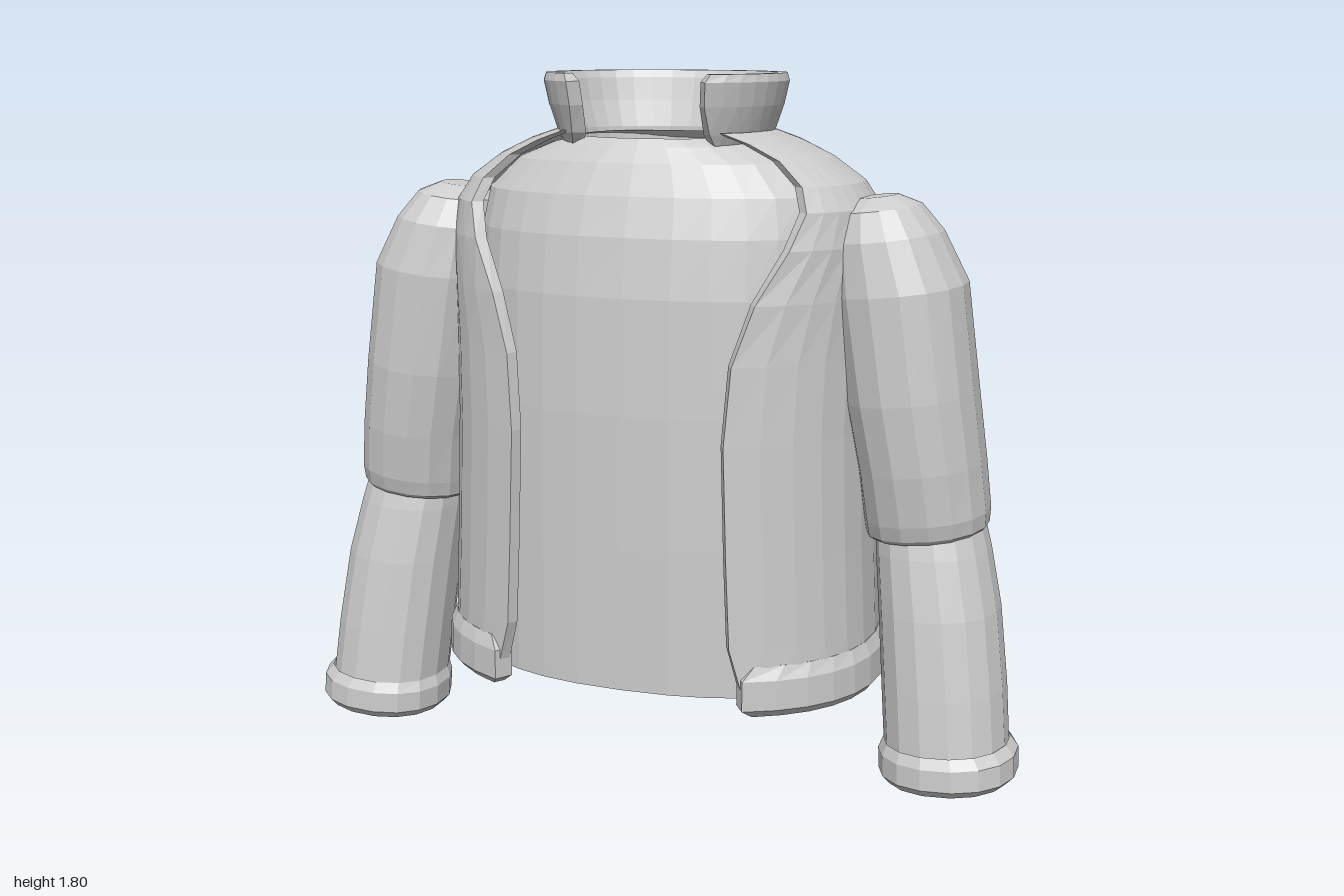
import * as THREE from 'three';

const fabric = new THREE.MeshStandardMaterial({ color: 0xcccccc, flatShading: true, side: THREE.DoubleSide });
fabric.name = 'greyFabric';

// Skin a stack of equal-length point loops, listed bottom to top
function loft(name, loops, capBottom, capTop) {
  const L = loops[0].length, last = (loops.length - 1) * L, index = [];
  for (let j = 0; j < loops.length - 1; j++) {
    for (let i = 0; i < L; i++) {
      const a = j * L + i, b = j * L + (i + 1) % L;
      index.push(a, b, b + L, a, b + L, a + L);
    }
  }
  // caps bridge each point to its opposite number in the loop
  for (let i = 0; i < L / 2 - 1; i++) {
    const a = i, b = i + 1, c = L - 2 - i, d = L - 1 - i;
    if (capTop) index.push(last + a, last + b, last + c, last + a, last + c, last + d);
    if (capBottom) index.push(a, c, b, a, d, c);
  }
  const geo = new THREE.BufferGeometry();
  geo.setAttribute('position', new THREE.Float32BufferAttribute(loops.flat(2), 3));
  geo.setIndex(index);
  geo.computeVertexNormals();
  const mesh = new THREE.Mesh(geo, fabric);
  mesh.name = name;
  return mesh;
}

// Point on a rounded torso section with separate front and back depths; p below 1 squares it
const bend = (v, p) => Math.sign(v) * Math.abs(v) ** p;
function torsoPoint(t, p, y, hx, front, back) {
  const c = Math.cos(t);
  return [hx * bend(Math.sin(t), p), y, (c > 0 ? front : back) * bend(c, p)];
}

// Thick garment wall open at the front; rows: y, half width, front, back, opening half width, thickness
function openShell(name, p, rows) {
  const side = Math.PI / 2, panel = 6, rear = 16;
  const loops = rows.map(([y, hx, f, b, edge, t]) => {
    const start = Math.asin((edge / hx) ** (1 / p));
    const angles = [];
    for (let i = 0; i < panel; i++) angles.push(start + (side - start) * i / panel);
    for (let i = 0; i <= rear; i++) angles.push(side + Math.PI * i / rear);
    for (let i = panel - 1; i >= 0; i--) angles.push(2 * Math.PI - angles[i]);
    const outer = angles.map(a => torsoPoint(a, p, y, hx, f, b));
    const inner = angles.map(a => torsoPoint(a, p, y, hx - t, f - t, b - t)).reverse();
    return [...outer, ...inner];
  });
  return loft(name, loops, true, true);
}

// Sleeve tube; rows: y, centre x, half width, centre z, half depth
function tube(name, rows, side, tilt, capBottom, capTop) {
  const n = 16;
  const loops = rows.map(([y, cx, hx, cz, hz]) => Array.from({ length: n }, (_, i) => {
    const a = (i + 0.5) / n * Math.PI * 2, dx = hx * bend(Math.sin(a), 0.92);
    return [side * cx + dx, y + tilt * side * dx, cz + hz * bend(Math.cos(a), 0.92)];
  }));
  return loft(name, loops, capBottom, capTop);
}

export function createModel() {
  const model = new THREE.Group();
  model.name = 'jacketAndShirt';

  // Inner shirt, open at the neck and waist
  const shirtRows = [
    [0.22, 0.525, 0.353, 0.35], [0.6, 0.52, 0.352, 0.343], [0.95, 0.515, 0.348, 0.333],
    [1.25, 0.51, 0.337, 0.318], [1.4, 0.505, 0.315, 0.298], [1.5, 0.485, 0.285, 0.265],
    [1.58, 0.4, 0.25, 0.225], [1.62, 0.3, 0.225, 0.19], [1.64, 0.22, 0.21, 0.17],
  ];
  model.add(loft('shirt', shirtRows.map(r => Array.from({ length: 32 },
    (_, i) => torsoPoint(i / 32 * Math.PI * 2, 0.86, ...r)))));

  // Jacket body with the lapel opening
  model.add(openShell('jacketBody', 0.87, [
    [0.27, 0.595, 0.438, 0.385, 0.335, 0.03], [0.38, 0.59, 0.436, 0.382, 0.305, 0.03],
    [0.6, 0.58, 0.433, 0.378, 0.295, 0.03], [0.9, 0.57, 0.428, 0.37, 0.285, 0.03],
    [1.1, 0.57, 0.42, 0.365, 0.3, 0.03], [1.25, 0.575, 0.41, 0.357, 0.35, 0.03],
    [1.38, 0.58, 0.39, 0.34, 0.42, 0.03], [1.47, 0.57, 0.365, 0.317, 0.45, 0.03],
    [1.53, 0.53, 0.335, 0.293, 0.43, 0.03], [1.59, 0.445, 0.305, 0.268, 0.365, 0.03],
    [1.63, 0.36, 0.285, 0.25, 0.285, 0.03], [1.655, 0.285, 0.27, 0.238, 0.215, 0.025],
  ]));

  // Waistband
  model.add(openShell('waistband', 0.87, [
    [0.2, 0.595, 0.433, 0.395, 0.36, 0.03], [0.222, 0.613, 0.453, 0.41, 0.342, 0.05],
    [0.3, 0.61, 0.451, 0.407, 0.342, 0.05], [0.335, 0.593, 0.436, 0.385, 0.365, 0.03],
  ]));

  // Stand collar
  model.add(openShell('collar', 0.92, [
    [1.61, 0.265, 0.24, 0.215, 0.195, 0.025], [1.65, 0.285, 0.255, 0.23, 0.185, 0.04],
    [1.72, 0.309, 0.273, 0.25, 0.18, 0.04], [1.78, 0.322, 0.283, 0.265, 0.185, 0.04],
    [1.8, 0.316, 0.277, 0.26, 0.195, 0.025],
  ]));

  // Sleeves and cuffs
  for (const [side, label] of [[1, 'left'], [-1, 'right']]) {
    const sleeve = new THREE.Group();
    sleeve.name = label + 'Sleeve';
    sleeve.add(tube('upperSleeve', [
      [0.64, 0.732, 0.143, 0.03, 0.158], [0.65, 0.73, 0.156, 0.03, 0.168], [0.69, 0.728, 0.16, 0.032, 0.178],
      [0.82, 0.712, 0.161, 0.038, 0.19], [1.0, 0.682, 0.167, 0.045, 0.196], [1.27, 0.642, 0.171, 0.046, 0.192],
      [1.4, 0.607, 0.14, 0.045, 0.166], [1.47, 0.587, 0.104, 0.045, 0.122], [1.5, 0.58, 0.05, 0.045, 0.06],
    ], side, 0.12, true, true));
    sleeve.add(tube('lowerSleeve', [
      [0.09, 0.811, 0.16, 0.105, 0.163], [0.25, 0.796, 0.16, 0.085, 0.165],
      [0.45, 0.773, 0.156, 0.06, 0.163], [0.6, 0.748, 0.147, 0.038, 0.155], [0.68, 0.735, 0.138, 0.03, 0.142],
    ], side, 0.06, true, true));
    // Rolled cuff, hollow underneath
    sleeve.add(tube('cuff', [
      [0.09, 0.815, 0.135, 0.112, 0.135], [0.014, 0.817, 0.148, 0.115, 0.145], [0.01, 0.819, 0.16, 0.115, 0.158],
      [0.03, 0.82, 0.179, 0.115, 0.174], [0.085, 0.817, 0.179, 0.112, 0.174], [0.112, 0.811, 0.162, 0.106, 0.164],
    ], side, 0.06, true, false));
    model.add(sleeve);
  }
  return model;
}
